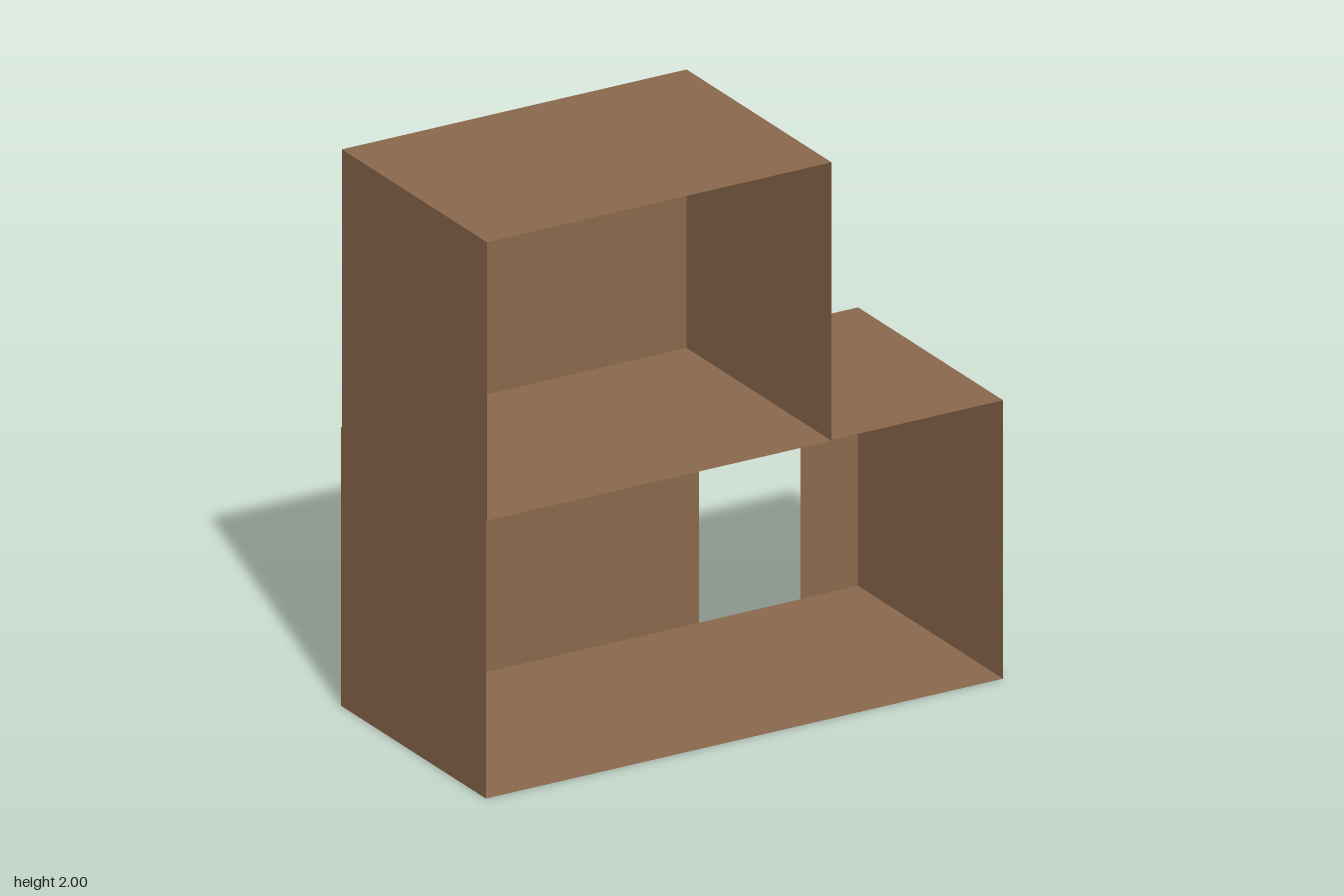
import * as THREE from 'three';

const brown = new THREE.MeshStandardMaterial({ color: 0x8b694d, side: THREE.DoubleSide });
brown.name = 'brown';

// Thin-walled room, open towards +z, with an optional doorway in the back wall
function room(name, x0, x1, y0, y1, z0, z1, door) {
  const g = new THREE.Group();
  g.name = name;
  const w = x1 - x0, h = y1 - y0, d = z1 - z0;
  const cx = (x0 + x1) / 2, cy = (y0 + y1) / 2, cz = (z0 + z1) / 2;
  const add = (part, geometry, x, y, z) => {
    const m = new THREE.Mesh(geometry, brown);
    m.name = part;
    m.position.set(x, y, z);
    g.add(m);
  };

  // Floor and roof
  add('floor', new THREE.PlaneGeometry(w, d).rotateX(-Math.PI / 2), cx, y0, cz);
  add('roof', new THREE.PlaneGeometry(w, d).rotateX(-Math.PI / 2), cx, y1, cz);

  // Side walls
  add('rightWall', new THREE.PlaneGeometry(d, h).rotateY(-Math.PI / 2), x0, cy, cz);
  add('leftWall', new THREE.PlaneGeometry(d, h).rotateY(Math.PI / 2), x1, cy, cz);

  // Back wall, its outline stepping around the doorway
  const outline = [[x0, y0]];
  if (door) {
    outline.push([door.x0, y0], [door.x0, door.top], [door.x1, door.top], [door.x1, y0]);
  }
  outline.push([x1, y0], [x1, y1], [x0, y1]);
  const shape = new THREE.Shape(outline.map(([x, y]) => new THREE.Vector2(x, y)));
  // Turned to face outwards (-z)
  const back = new THREE.ShapeGeometry(shape);
  const index = back.index.array;
  for (let i = 0; i < index.length; i += 3) {
    [index[i], index[i + 1]] = [index[i + 1], index[i]];
  }
  back.computeVertexNormals();
  add('backWall', back, 0, 0, z0);
  return g;
}

export function createModel() {
  const model = new THREE.Group();
  model.name = 'openHouse';
  model.add(
    room('lowerRoom', -1, 1, 0, 1, -0.469, 0.463, { x0: 0.385, x1: 0.777, top: 0.78 }),
    room('upperRoom', -1, 0.333, 1, 2, -0.463, 0.469)
  );
  return model;
}
